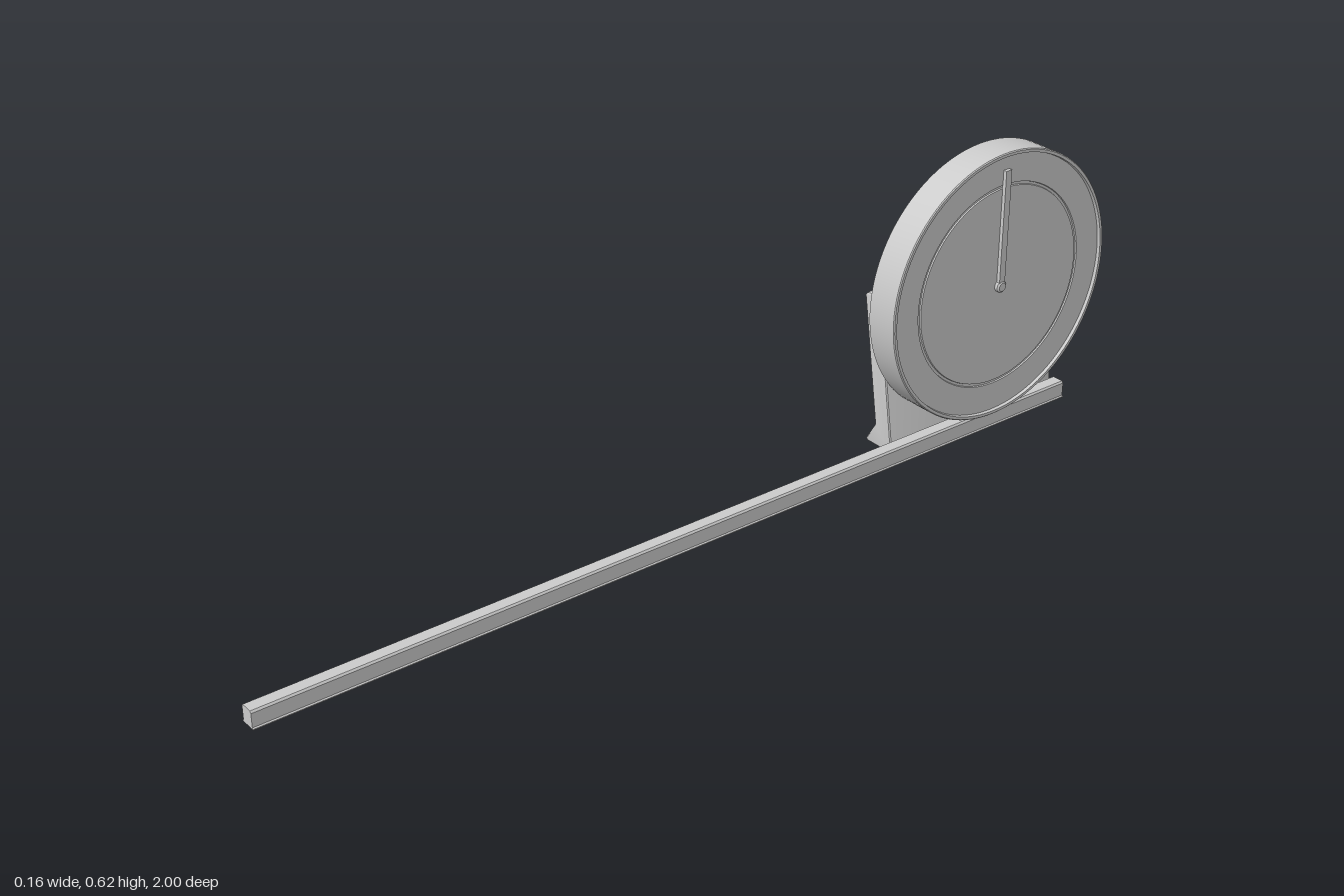
import * as THREE from 'three';
import { toCreasedNormals } from 'three/addons/utils/BufferGeometryUtils.js';

const material = new THREE.MeshStandardMaterial({ color: 0xcccccc });
const WHEEL = { y: 0.333, z: -0.71 };

function part(name, geometry, parent) {
  const mesh = new THREE.Mesh(toCreasedNormals(geometry, 0.5), material);
  mesh.name = name;
  parent.add(mesh);
  return mesh;
}

// Extrudes an x-y outline along z, from z0 to z1 including the bevel
function extrudeZ(points, z0, z1, bevel) {
  const shape = new THREE.Shape(points.map(([x, y]) => new THREE.Vector2(x, y)));
  const geometry = new THREE.ExtrudeGeometry(shape, {
    depth: z1 - z0 - 2 * bevel,
    bevelEnabled: bevel > 0,
    bevelThickness: bevel,
    bevelSize: bevel,
    bevelOffset: -bevel,
    bevelSegments: 3,
  });
  return geometry.translate(0, 0, z0 + bevel);
}

// Revolves a (radius, x) profile about the x axis
function latheX(points, segments) {
  const profile = points.map(([r, x]) => new THREE.Vector2(r, x));
  return new THREE.LatheGeometry(profile, segments).rotateZ(-Math.PI / 2);
}

export function createModel() {
  const model = new THREE.Group();
  model.name = 'wheelOnRail';

  // Long rail with softened top edges and a thin foot
  const half = [[0.018, 0.001], [0.018, 0.003], [0.0155, 0.005], [0.0155, 0.034], [0.0125, 0.038]];
  const rail = [
    ...half.map(([x, y]) => [0.04 + x, y]),
    ...half.map(([x, y]) => [0.04 - x, y]).reverse(),
  ];
  part('rail', extrudeZ(rail, -0.935, 1, 0), model);

  // Leaning stand with a flared foot behind the wheel
  const stand = [
    [-0.058, 0.001], [0.016, 0.001], [0.018, 0.004], [-0.033, 0.339],
    [-0.072, 0.333], [-0.078, 0.327], [-0.035, 0.049], [-0.061, 0.007],
  ];
  part('stand', extrudeZ(stand, -0.94, -0.48, 0.006), model);

  // Wheel: deep open back, thin face plate set just inside the front rim
  const wheel = new THREE.Group();
  wheel.name = 'wheel';
  wheel.position.set(0, WHEEL.y, WHEEL.z);
  model.add(wheel);

  part('rimAndFace', latheX([
    [0, 0.062], [0.213, 0.062], [0.214, 0.06], [0.219, 0.06], [0.22, 0.062],
    [0.281, 0.062], [0.281, 0.003],
    [0.289, 0.003], [0.29, 0.004], [0.29, 0.073], [0.288, 0.075], [0.282, 0.075],
    [0.281, 0.068], [0.22, 0.068], [0.219, 0.065], [0.214, 0.065], [0.213, 0.068], [0, 0.068],
  ], 96), wheel);

  // Pointer bar and its hub
  const pointer = part('pointer', new THREE.BoxGeometry(0.009, 0.25, 0.015), wheel);
  pointer.position.set(0.0715, 0.127, 0);
  part('pointerHub', latheX([
    [0.0125, 0.066], [0.0125, 0.075], [0.009, 0.078], [0, 0.078],
  ], 24), wheel);

  // Small pin end on the inside of the plate
  part('pinEnd', latheX([[0, 0.06], [0.004, 0.06], [0.004, 0.063]], 16), wheel);

  return model;
}
